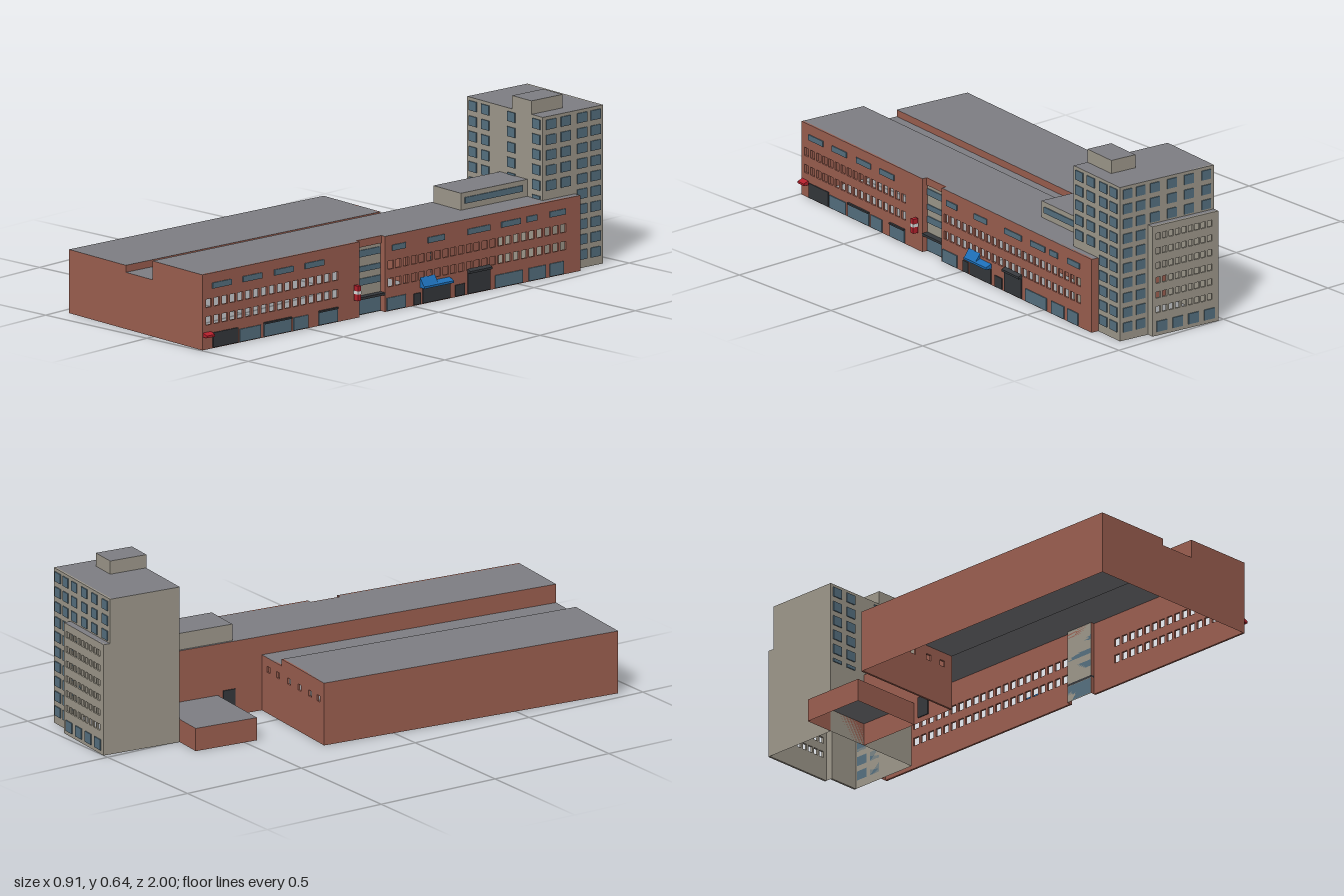
import * as THREE from 'three';

const mat = (name, color) => {
  const m = new THREE.MeshStandardMaterial({ color, side: THREE.DoubleSide });
  m.name = name;
  return m;
};

export function createModel() {
  const brick = mat('brick', 0x9c5f50), roof = mat('roof', 0x7e7e83), stone = mat('stone', 0x9f998c);
  const glass = mat('glass', 0x567181), dark = mat('dark', 0x35383c), red = mat('red', 0xb5202c);
  const blue = mat('blue', 0x1d6fb8), white = mat('white', 0xdedede);

  const model = new THREE.Group();
  model.name = 'building';
  const site = new THREE.Group();
  site.name = 'site';
  site.rotation.y = -0.102; // the whole block stands slightly turned
  model.add(site);

  const add = (name, geo, m, parent = site) => {
    const mesh = new THREE.Mesh(geo, m);
    mesh.name = name;
    parent.add(mesh);
    return mesh;
  };
  const boxGeo = (x0, x1, y0, y1, z0, z1) =>
    new THREE.BoxGeometry(x1 - x0, y1 - y0, z1 - z0)
      .translate((x0 + x1) / 2, (y0 + y1) / 2, (z0 + z1) / 2);
  const solid = (name, b, m, parent) => add(name, boxGeo(...b), m, parent);

  // Open shell: keeps only the listed faces, the top one in roof colour
  const FACES = ['px', 'nx', 'py', 'ny', 'pz', 'nz'];
  const shell = (name, b, keep, wall) => {
    const geo = boxGeo(...b), all = Array.from(geo.index.array), index = [];
    geo.clearGroups();
    for (const f of keep.split(' ')) {
      const i = FACES.indexOf(f);
      geo.addGroup(index.length, 6, f === 'py' ? 1 : 0);
      index.push(...all.slice(i * 6, i * 6 + 6));
    }
    geo.setIndex(index);
    return add(name, geo, [wall, roof]);
  };

  // Wall with openings; outline and holes are [a0, a1, y0, y1]
  const T = 0.008;
  const rect = (P, [a0, a1, y0, y1]) => new P([[a0, y0], [a1, y0], [a1, y1], [a0, y1]]
    .map(p => new THREE.Vector2(...p)));
  const wall = (name, outline, holes, m, side, at) => {
    const shape = Array.isArray(outline[0])
      ? new THREE.Shape(outline.map(p => new THREE.Vector2(...p))) : rect(THREE.Shape, outline);
    shape.holes = holes.map(h => rect(THREE.Path, h));
    const mesh = add(name, new THREE.ExtrudeGeometry(shape, { depth: T, bevelEnabled: false }), m);
    if (side === 'street') { mesh.rotation.y = Math.PI / 2; mesh.position.x = at - T; }
    else { mesh.rotation.y = Math.PI; mesh.position.z = at + T; }
    return mesh;
  };

  // Thin plates on a face
  const P = 0.004;
  const group = name => {
    const g = new THREE.Group();
    g.name = name;
    site.add(g);
    return g;
  };
  const onStreet = (g, at, z0, z1, y0, y1, m) => solid('pane', [at, at + P, y0, y1, z0, z1], m, g);

  // Brick wings: left hall, lower channel, tall street wing
  const XL = -0.364, XC = -0.052, XT = 0.094, XS = 0.368, ZF = 0.962, ZB = -0.25, ZT = -0.684;
  const XR = 0.345, R0 = 0.093, R1 = 0.213; // recess in the street front
  shell('leftHall', [XL, XC, 0, 0.236, ZB, ZF], 'nx py pz', brick);
  shell('leftHallStep', [XL, XC, 0.21, 0.236, ZB, ZF], 'px', brick);
  shell('channel', [XC, XT, 0, 0.21, ZB, ZF], 'py pz', brick);
  shell('streetWingStep', [XT, XS, 0.21, 0.28, ZB, ZF], 'nx', brick);
  shell('streetWingFront', [XT, XS, 0, 0.28, R1, ZF], 'py pz', brick);
  shell('streetWingMiddle', [XT, XR, 0, 0.28, R0, R1], 'py', brick);
  shell('streetWingBack', [XT, XS, 0, 0.28, ZB, R0], 'py', brick);
  shell('streetWingRear', [XT, XS, 0, 0.28, ZT, ZB], 'nx py', brick);
  shell('streetWingEnd', [0.338, XS, 0, 0.28, -0.837, ZT], 'py nz', brick);
  shell('recessSides', [XR, XS, 0, 0.28, R0, R1], 'pz nz', brick);
  shell('recessWall', [XT, XR, 0, 0.28, R0, R1], 'px', stone);
  shell('lowBlock', [-0.195, XT, 0, 0.086, ZT, -0.432], 'nx py pz nz', brick);
  solid('sideDoor', [XT - P, XT, 0.02, 0.1, -0.41, -0.36], dark);

  // Rear wall of the halls with small openings
  wall('hallRearWall', [[-XT, 0], [-XL, 0], [-XL, 0.236], [-XC, 0.236], [-XC, 0.21], [-XT, 0.21]],
    [-0.045, 0.025, 0.105, 0.185, 0.26, 0.325].map(a => [a - 0.011, a + 0.011, 0.155, 0.178]),
    brick, 'back', ZB);

  // Street front with two rows of openings
  const openings = (z0, z1, n) => {
    const out = [], step = (z1 - z0) / n;
    for (const y of [0.09, 0.155]) for (let i = 0; i < n; i++) {
      const c = -(z0 + step * (i + 0.5));
      out.push([c - 0.013, c + 0.013, y, y + 0.031]);
    }
    return out;
  };
  wall('streetFrontA', [-ZF, -R1, 0, 0.28], openings(0.31, 0.95, 17), brick, 'street', XS);
  wall('streetFrontB', [-R0, 0.837, 0, 0.28], openings(-0.775, 0.085, 23), brick, 'street', XS);

  // Upper windows and shop windows
  const upper = group('upperWindows'), shops = group('shopWindows'), doors = group('shopDoors');
  for (const [a, b] of [[0.825, 0.915], [0.68, 0.77], [0.53, 0.62], [0.385, 0.475], [-0.005, 0.06],
    [-0.19, -0.11], [-0.405, -0.3], [-0.55, -0.46], [-0.63, -0.58], [-0.765, -0.69]])
    onStreet(upper, XS, a, b, 0.222, 0.243, glass);
  for (const [a, b] of [[0.685, 0.785], [0.54, 0.67], [0.46, 0.53], [0.32, 0.41], [-0.005, 0.085],
    [-0.56, -0.43], [-0.67, -0.59], [-0.755, -0.69]])
    onStreet(shops, XS, a, b, 0.003, 0.05, glass);
  for (const [a, b, h] of [[0.793, 0.913, 0.058], [-0.075, -0.043, 0.045], [-0.215, -0.085, 0.06],
    [-0.285, -0.24, 0.045], [-0.405, -0.3, 0.092]])
    onStreet(doors, XS, a, b, 0.003, h, dark);
  for (const [a, b] of [[0.54, 0.67], [0.32, 0.41]])
    solid('shopLedge', [XS, XS + 0.008, 0.05, 0.056, a, b], dark);

  // Recessed bay: glass bands, entrance and canopy
  const bay = group('recessedBay');
  for (const [y0, y1] of [[0.003, 0.062], [0.11, 0.135], [0.16, 0.18], [0.215, 0.24]])
    onStreet(bay, XR, R0 + 0.004, R1 - 0.004, y0, y1, glass);
  solid('bayCanopy', [XR, XS + 0.002, 0.063, 0.072, R0, R1], dark, bay);
  onStreet(bay, XR, R0, R1, 0.252, 0.28, brick);

  // Awnings and hanging signs
  const awning = (name, z0, z1, y0, y1, out, m) => {
    const s = new THREE.Shape([[0, y0], [out, y0], [out, y0 + 0.008], [0, y1]]
      .map(p => new THREE.Vector2(...p)));
    add(name, new THREE.ExtrudeGeometry(s, { depth: z1 - z0, bevelEnabled: false }), m)
      .position.set(XS, 0, z0);
  };
  awning('blueAwning', -0.215, -0.075, 0.062, 0.08, 0.024, blue);
  awning('blueAwningTall', -0.145, -0.075, 0.062, 0.1, 0.02, blue);
  awning('redAwning', 0.92, 0.958, 0.048, 0.064, 0.02, red);
  awning('darkAwning', -0.405, -0.3, 0.08, 0.095, 0.015, dark);
  solid('redSign', [0.374, 0.396, 0.07, 0.125, 0.23, 0.246], red);
  solid('signBand', [0.373, 0.397, 0.094, 0.106, 0.229, 0.247], white);

  // Roof house on the street wing
  shell('roofHouse', [0.103, 0.254, 0.28, 0.343, ZT, -0.367], 'px nx py pz', stone);
  onStreet(group('roofHouseWindow'), 0.254, -0.66, -0.385, 0.302, 0.325, glass);

  // Tower, rear annex and penthouse
  const TX0 = -0.077, TX1 = 0.338, TZ = -0.971, TH = 0.588, AX = 0.214, AZ = -0.998, AH = 0.42;
  shell('tower', [TX0, TX1, 0, TH, TZ, ZT], 'px nx py pz', stone);
  wall('towerRearWall', [[-TX1, 0], [-AX, 0], [-AX, AH], [-TX0, AH], [-TX0, TH], [-TX1, TH]],
    [], stone, 'back', TZ);
  shell('annex', [TX0, AX, 0, AH, AZ, TZ], 'px nx py', stone);
  shell('penthouse', [0.171, 0.277, TH, 0.638, -0.832, -0.683], 'px nx py pz nz', stone);

  // Annex rear wall: six rows of openings above ground-floor glass
  const holes = [];
  for (let r = 0; r < 6; r++) for (let c = 0; c < 9; c++) {
    const a = -AX + 0.025 + c * 0.0285;
    holes.push([a - 0.009, a + 0.011, 0.087 + r * 0.056, 0.111 + r * 0.056]);
  }
  wall('annexRearWall', [-AX, -TX0, 0, AH], holes, stone, 'back', AZ);
  const annexGlass = group('annexGroundWindows');
  for (let i = 0; i < 4; i++) {
    const x = TX0 + 0.018 + i * 0.07;
    solid('pane', [x, x + 0.045, 0.015, 0.055, AZ - P, AZ], glass, annexGlass);
  }

  // Tower windows, floor by floor
  const front = group('towerFrontWindows'), side = group('towerSideWindows'), rear = group('towerRearWindows');
  for (let f = 0; f < 10; f++) {
    const y1 = 0.576 - f * 0.0565, y0 = y1 - 0.036;
    if (f < 6) for (const x of [-0.065, 0.003, 0.146, 0.283])
      solid('pane', [x, x + 0.042, Math.max(y0, 0.281), y1, ZT, ZT + P], glass, front);
    for (const z of [-0.745, -0.815, -0.893, -0.957])
      if (f < 5 || z < -0.84) onStreet(side, TX1, z, z + 0.046, y0, y1, glass);
    for (const x of [-0.062, 0.015, 0.09, 0.165, 0.228, 0.285])
      if (f < 3 && y0 > AH || x > AX) solid('pane', [x, x + 0.04, y0, y1, TZ - P, TZ], glass, rear);
  }
  return model;
}
